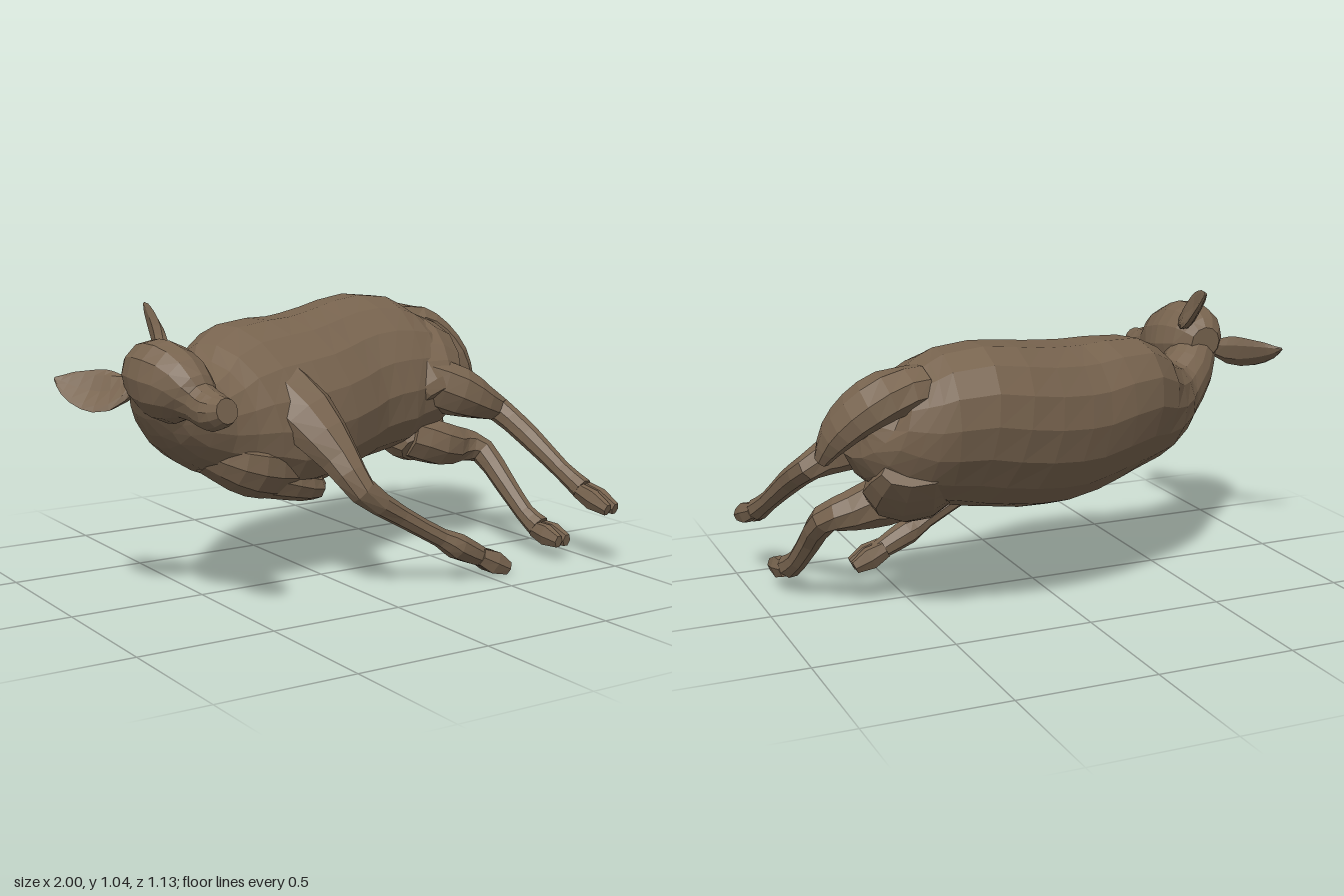
import * as THREE from 'three';

const coat = new THREE.MeshStandardMaterial({ color: 0x78644f, flatShading: true });
coat.name = 'brown coat';

// Skin over oval rings. Each row: x, y, z, half size along "up", half size across it.
// "cup" bends the ring's edges to one side, for ears.
function loft(name, rows, up, { sides = 10, steps = 3, cup = 0 } = {}) {
  const path = new THREE.CatmullRomCurve3(rows.map(r => new THREE.Vector3(r[0], r[1], r[2])), false, 'catmullrom');
  const size = new THREE.CatmullRomCurve3(rows.map(r => new THREE.Vector3(r[3], r[4], 0)), false, 'catmullrom');
  const n = (rows.length - 1) * steps;
  const pos = [], index = [];
  for (let i = 0; i <= n; i++) {
    const c = path.getPoint(i / n), s = size.getPoint(i / n), t = path.getTangent(i / n);
    const u = new THREE.Vector3(...up).addScaledVector(t, -t.dot(new THREE.Vector3(...up))).normalize();
    const v = new THREE.Vector3().crossVectors(t, u);
    for (let j = 0; j < sides; j++) {
      const w = (j / sides) * Math.PI * 2;
      const p = c.clone().addScaledVector(u, Math.cos(w) * s.x)
        .addScaledVector(v, Math.sin(w) * s.y + cup * s.x * Math.cos(w) ** 2);
      pos.push(p.x, p.y, p.z);
    }
  }
  for (let i = 0; i < n; i++) {
    for (let j = 0; j < sides; j++) {
      const a = i * sides + j, b = i * sides + (j + 1) % sides;
      index.push(a, b, a + sides, b, b + sides, a + sides);
    }
  }
  // close both ends
  const first = pos.length / 3, last = first + 1;
  const p0 = path.getPoint(0), p1 = path.getPoint(1);
  pos.push(p0.x, p0.y, p0.z, p1.x, p1.y, p1.z);
  for (let j = 0; j < sides; j++) {
    const k = (j + 1) % sides;
    index.push(first, k, j, last, n * sides + j, n * sides + k);
  }
  const geo = new THREE.BufferGeometry();
  geo.setAttribute('position', new THREE.Float32BufferAttribute(pos, 3));
  geo.setIndex(index);
  geo.computeVertexNormals();
  const mesh = new THREE.Mesh(geo, coat);
  mesh.name = name;
  return mesh;
}

// Cloven hoof: two tapering toes pressed together
function hoof(name, from, to, side, r) {
  const g = new THREE.Group();
  g.name = name;
  for (const s of [-1, 1]) {
    const at = (k, a, b) => [0, 1, 2].map(i => from[i] + (to[i] - from[i]) * k + side[i] * s * r * 0.42).concat(a, b);
    g.add(loft('toe', [at(0, r * 0.5, r * 0.7), at(0.5, r * 0.62, r * 0.95), at(1, r * 0.4, r * 0.55)], side, { sides: 6, steps: 1 }));
  }
  return g;
}

export function createModel() {
  const model = new THREE.Group();
  model.name = 'lyingFawn';

  // Body lies on its side: the spine points up and back
  const spine = [0, 0.73, -0.68];
  model.add(loft('bodyAndNeck', [
    [0.75, 0.77, -0.33, 0.07, 0.06],
    [0.69, 0.74, -0.31, 0.2, 0.15],
    [0.57, 0.72, -0.29, 0.28, 0.22],
    [0.4, 0.72, -0.285, 0.33, 0.25],
    [0.2, 0.69, -0.25, 0.32, 0.27],
    [0, 0.66, -0.18, 0.33, 0.27],
    [-0.25, 0.66, -0.1, 0.33, 0.235],
    [-0.44, 0.64, -0.025, 0.22, 0.19],
    [-0.6, 0.66, 0.07, 0.14, 0.13],
    [-0.7, 0.73, 0.12, 0.115, 0.105],
    [-0.76, 0.82, 0.18, 0.09, 0.09],
  ], spine, { sides: 16, steps: 2 }));
  model.add(loft('breast', [
    [-0.52, 0.54, 0.06, 0.06, 0.07],
    [-0.34, 0.48, 0.06, 0.11, 0.11],
    [-0.14, 0.44, -0.01, 0.1, 0.1],
    [0.02, 0.45, -0.06, 0.05, 0.05],
  ], spine));

  // Head, rolled towards its right
  model.add(loft('head', [
    [-0.755, 0.84, 0.07, 0.06, 0.06],
    [-0.755, 0.845, 0.14, 0.12, 0.105],
    [-0.745, 0.835, 0.25, 0.145, 0.12],
    [-0.725, 0.82, 0.34, 0.115, 0.1],
    [-0.71, 0.785, 0.41, 0.075, 0.065],
    [-0.703, 0.768, 0.48, 0.066, 0.064],
    [-0.697, 0.78, 0.555, 0.042, 0.04],
  ], [-0.45, 0.88, 0], { sides: 12, steps: 2 }));

  // Ears
  model.add(loft('leftEar', [
    [-0.71, 0.91, 0.15, 0.03, 0.03],
    [-0.69, 0.945, 0.08, 0.06, 0.025],
    [-0.68, 0.985, 0.01, 0.066, 0.015],
    [-0.67, 1.03, -0.05, 0.04, 0.01],
    [-0.665, 1.058, -0.08, 0.005, 0.004],
  ], [-0.45, 0.85, 0.3], { sides: 8, steps: 2, cup: 0.35 }));
  model.add(loft('rightEar', [
    [-0.81, 0.82, 0.15, 0.03, 0.03],
    [-0.865, 0.785, 0.09, 0.075, 0.025],
    [-0.915, 0.785, 0.02, 0.075, 0.015],
    [-0.965, 0.805, -0.05, 0.045, 0.01],
    [-0.997, 0.825, -0.09, 0.005, 0.004],
  ], [0.4, 0.78, -0.4], { sides: 8, steps: 2, cup: -0.3 }));

  // Upper foreleg, stretched back along the ground
  model.add(loft('rightForeleg', [
    [-0.22, 0.78, -0.02, 0.12, 0.07],
    [-0.14, 0.65, 0.12, 0.115, 0.08],
    [-0.075, 0.51, 0.24, 0.075, 0.065],
    [-0.03, 0.4, 0.32, 0.052, 0.05],
    [0.13, 0.29, 0.325, 0.038, 0.036],
    [0.3, 0.19, 0.335, 0.036, 0.038],
    [0.37, 0.15, 0.34, 0.05, 0.052],
    [0.5, 0.085, 0.335, 0.036, 0.036],
  ], [1, 0.3, 0.2], { sides: 8, steps: 2 }));
  model.add(hoof('rightForeHoof', [0.47, 0.1, 0.335], [0.59, 0.04, 0.345], [0, 0, 1], 0.05));

  // Lower foreleg, folded under the chest
  model.add(loft('leftForeleg', [
    [-0.3, 0.44, 0.06, 0.08, 0.07],
    [-0.16, 0.39, 0.05, 0.06, 0.06],
    [-0.04, 0.355, 0.01, 0.045, 0.05],
    [0.0, 0.38, -0.05, 0.03, 0.03],
  ], [0, 1, 0], { sides: 8, steps: 2 }));

  // Thighs, broad along the body
  model.add(loft('rightThigh', [
    [0.59, 0.88, -0.38, 0.13, 0.06],
    [0.58, 0.8, -0.23, 0.17, 0.11],
    [0.56, 0.7, -0.11, 0.155, 0.1],
    [0.58, 0.63, -0.045, 0.1, 0.065],
  ], [1, 0, 0], { steps: 2 }));
  model.add(loft('leftThigh', [
    [0.59, 0.62, -0.43, 0.13, 0.06],
    [0.57, 0.53, -0.29, 0.17, 0.11],
    [0.53, 0.46, -0.18, 0.14, 0.1],
    [0.53, 0.42, -0.11, 0.09, 0.06],
  ], [1, 0, 0], { steps: 2 }));

  // Hind legs below the thigh: gaskin, hock and shank
  model.add(loft('rightHindLeg', [
    [0.53, 0.69, -0.1, 0.1, 0.08],
    [0.66, 0.64, -0.05, 0.1, 0.085],
    [0.77, 0.59, -0.03, 0.07, 0.065],
    [0.85, 0.555, -0.03, 0.05, 0.052],
    [0.885, 0.47, 0.11, 0.045, 0.04],
    [0.92, 0.36, 0.27, 0.036, 0.035],
    [0.94, 0.3, 0.37, 0.043, 0.042],
  ], [0.5, 0.8, 0.3], { sides: 8, steps: 2 }));
  model.add(hoof('rightHindHoof', [0.94, 0.3, 0.36], [0.962, 0.245, 0.51], [1, 0, 0], 0.045));
  model.add(loft('leftHindLeg', [
    [0.5, 0.47, -0.15, 0.09, 0.09],
    [0.62, 0.43, -0.12, 0.09, 0.09],
    [0.74, 0.41, -0.13, 0.07, 0.07],
    [0.82, 0.38, -0.09, 0.052, 0.054],
    [0.84, 0.27, 0.03, 0.043, 0.042],
    [0.86, 0.17, 0.13, 0.038, 0.038],
    [0.875, 0.125, 0.2, 0.046, 0.045],
  ], [0.5, 0.8, 0.3], { sides: 8, steps: 2 }));
  model.add(hoof('leftHindHoof', [0.875, 0.12, 0.19], [0.885, 0.095, 0.33], [1, 0, 0], 0.047));

  // Tail, broad and held against the rump
  model.add(loft('tail', [
    [0.56, 0.89, -0.39, 0.07, 0.09],
    [0.69, 0.87, -0.4, 0.075, 0.1],
    [0.785, 0.81, -0.37, 0.065, 0.095],
    [0.845, 0.73, -0.32, 0.05, 0.075],
    [0.88, 0.645, -0.28, 0.025, 0.035],
  ], [0.8, 0.5, -0.2], { sides: 8, steps: 2 }));

  return model;
}
